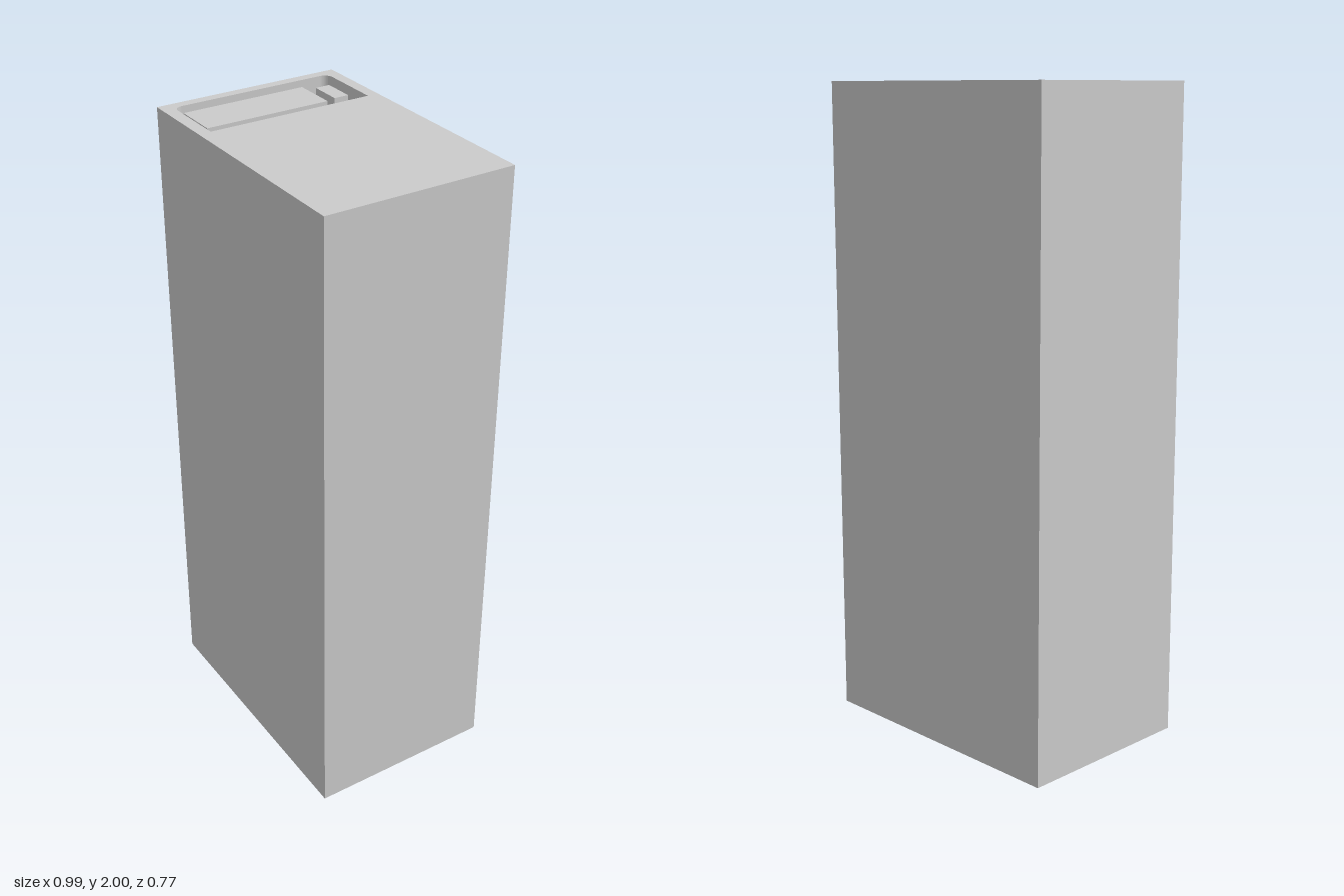
import * as THREE from 'three';

const material = new THREE.MeshStandardMaterial({
  color: 0xcccccc, flatShading: true, side: THREE.DoubleSide,
});
const HEIGHT = 2, HALF_W = 0.4405, HALF_D = 0.2955;
const FLOOR_Y = HEIGHT - 0.06;

function add(group, name, geometry, y = 0) {
  const mesh = new THREE.Mesh(geometry, material);
  mesh.name = name;
  mesh.position.y = y;
  group.add(mesh);
}

// Flat shape laid horizontally, facing up (shape y becomes -z)
const flat = (shape) => new THREE.ShapeGeometry(shape, 6).rotateX(-Math.PI / 2);

// Vertical walls along a closed outline; counter-clockwise outlines face outwards
function walls(points, y0, y1) {
  const pos = [];
  points.forEach((a, i) => {
    const b = points[(i + 1) % points.length];
    if (a.distanceTo(b) < 1e-6) return;
    pos.push(a.x, y0, -a.y, b.x, y0, -b.y, b.x, y1, -b.y);
    pos.push(a.x, y0, -a.y, b.x, y1, -b.y, a.x, y1, -a.y);
  });
  const g = new THREE.BufferGeometry();
  g.setAttribute('position', new THREE.Float32BufferAttribute(pos, 3));
  g.computeVertexNormals();
  return g;
}

// Recess outline: square on the inner side, rounded at the two outer corners
function recessOutline() {
  const x0 = -0.41, x1 = -0.193, y0 = -0.258, y1 = 0.261, r = 0.026;
  const s = new THREE.Shape();
  s.moveTo(x1, y0);
  s.lineTo(x1, y1);
  s.lineTo(x0 + r, y1);
  s.absarc(x0 + r, y1 - r, r, Math.PI / 2, Math.PI, false);
  s.lineTo(x0, y0 + r);
  s.absarc(x0 + r, y0 + r, r, Math.PI, Math.PI * 1.5, false);
  s.closePath();
  return s;
}

export function createModel() {
  const model = new THREE.Group();
  model.name = 'tower';
  const tower = new THREE.Group();
  tower.name = 'turnedTower';
  tower.rotation.y = -0.2196;
  model.add(tower);

  // Hollow casing, open underneath
  const corners = [[-1, -1], [1, -1], [1, 1], [-1, 1]]
    .map(([x, y]) => new THREE.Vector2(x * HALF_W, y * HALF_D));
  add(tower, 'sideWalls', walls(corners, 0, HEIGHT));

  // Roof with the recess cut out
  const recess = recessOutline();
  const recessPoints = recess.getPoints(6);
  const roof = new THREE.Shape(corners);
  roof.holes.push(new THREE.Path(recessPoints));
  add(tower, 'roof', flat(roof), HEIGHT);

  // Sunken recess
  add(tower, 'recessWalls', walls([...recessPoints].reverse(), FLOOR_Y, HEIGHT));
  add(tower, 'recessFloor', flat(recess), FLOOR_Y);

  // Two blocks standing in the recess: x range, z range, top
  const blocks = [
    ['largeRoofBlock', -0.394, -0.254, -0.161, 0.236, HEIGHT - 0.015],
    ['smallRoofBlock', -0.373, -0.27, -0.243, -0.196, HEIGHT - 0.018],
  ];
  for (const [name, x0, x1, z0, z1, top] of blocks) {
    const g = new THREE.BoxGeometry(x1 - x0, top - FLOOR_Y, z1 - z0);
    g.translate((x0 + x1) / 2, 0, (z0 + z1) / 2);
    add(tower, name, g, (top + FLOOR_Y) / 2);
  }
  return model;
}
